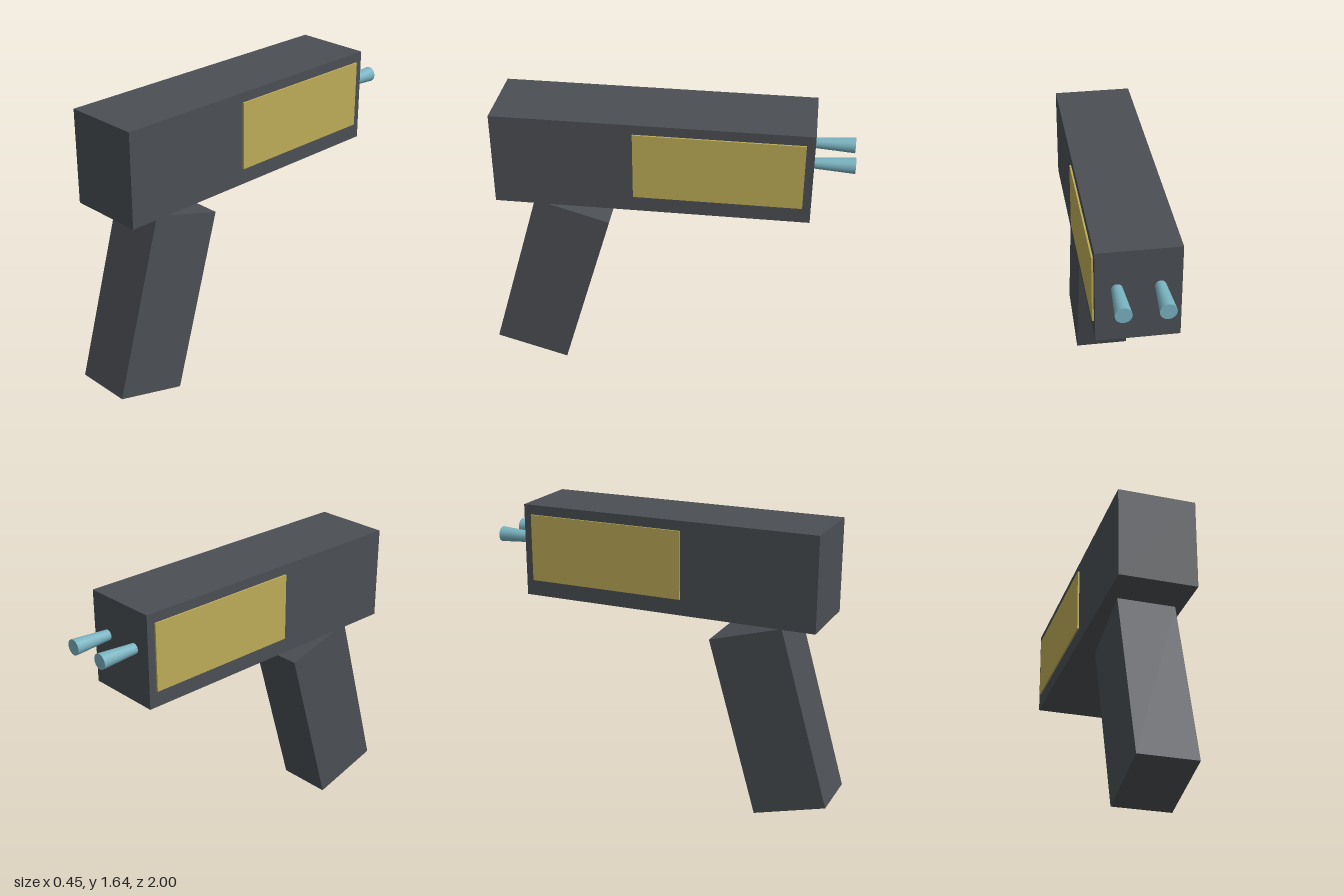
import * as THREE from 'three';

const darkGrey = new THREE.MeshStandardMaterial({ name: 'darkGrey', color: 0x4b4f54 });
const mustard = new THREE.MeshStandardMaterial({ name: 'mustard', color: 0xbdac57 });
const teal = new THREE.MeshStandardMaterial({ name: 'teal', color: 0x79b3c0 });

export function createModel() {
  const model = new THREE.Group();
  model.name = 'handheldDevice';

  const add = (name, geometry, material, x, y, z) => {
    const mesh = new THREE.Mesh(geometry, material);
    mesh.name = name;
    mesh.position.set(x, y, z);
    model.add(mesh);
    return mesh;
  };

  // Long box-shaped body
  add('body', new THREE.BoxGeometry(0.43, 0.52, 1.705), darkGrey, 0, 1.385, 0.0675);

  // Slanted grip, just clear of the body
  const grip = add('grip', new THREE.BoxGeometry(0.32, 1.03, 0.427), darkGrey, 0, 0.555, 0.655);
  grip.rotation.x = -0.28;

  // Mirrored side panels and flared prongs
  for (const [side, s] of [['left', 1], ['right', -1]]) {
    add(side + 'Panel', new THREE.BoxGeometry(0.0095, 0.376, 0.9), mustard, s * 0.2197, 1.403, -0.29);
    const prong = add(side + 'Prong', new THREE.CylinderGeometry(0.027, 0.043, 0.24, 16), teal, s * 0.107, 1.43, -0.88);
    prong.rotation.x = Math.PI / 2; // wide end points to the back
  }
  return model;
}
